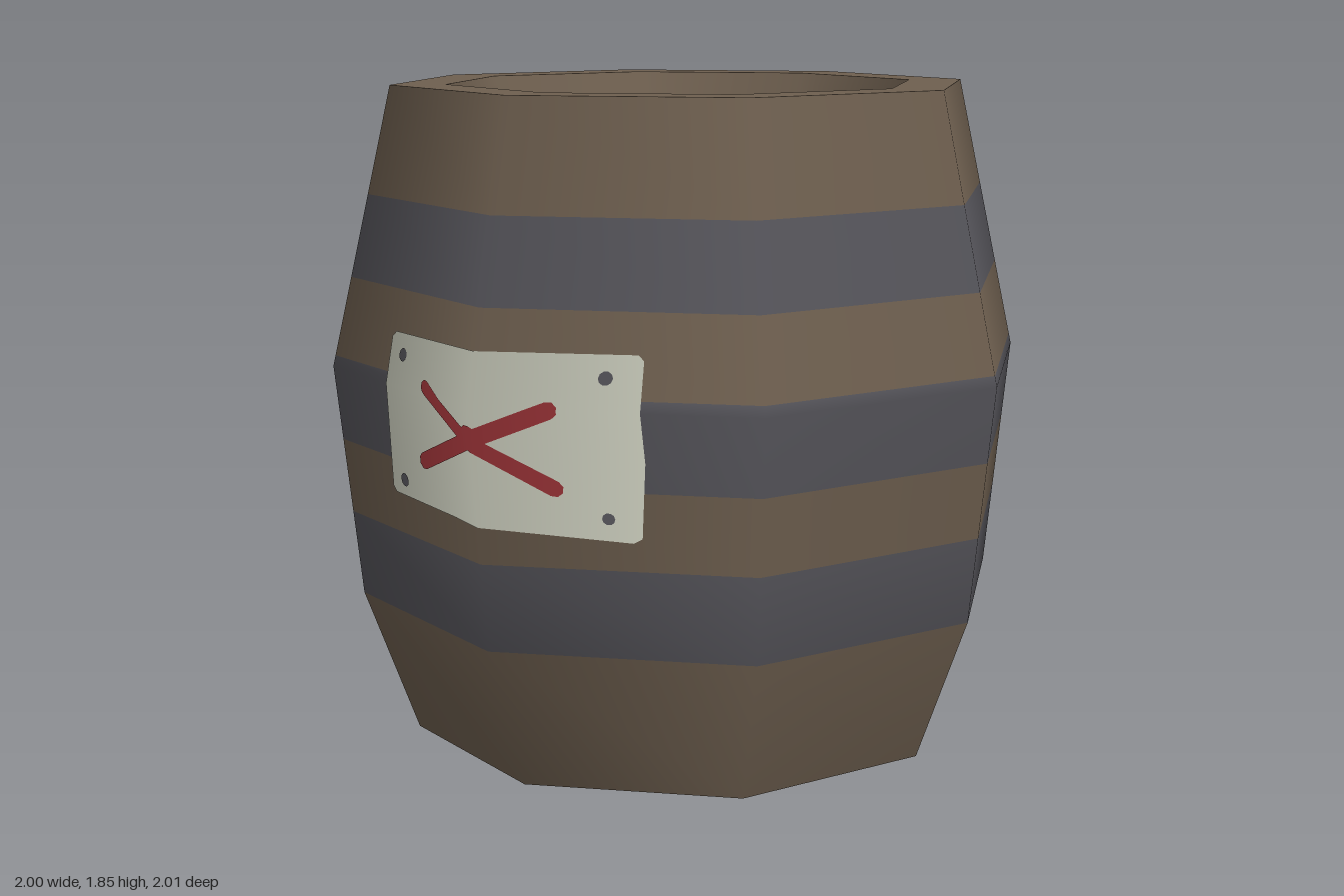
import * as THREE from 'three';

const SIDES = 8;
const paint = (name, color) => {
  const m = new THREE.MeshStandardMaterial({ color });
  m.name = name;
  return m;
};

// Barrel silhouette: [radius, height]
const RINGS = [[0.78, 0], [0.93, 0.41], [1, 1.07], [0.825, 1.85]];
const BULGE = 1.07, TOP = 1.85, FLOOR = 1.69;

function radiusAt(y) {
  let i = 0;
  while (i < RINGS.length - 2 && y > RINGS[i + 1][1]) i++;
  const [r0, y0] = RINGS[i], [r1, y1] = RINGS[i + 1];
  return r0 + (r1 - r0) * (y - y0) / (y1 - y0);
}

// Keep the part of a convex outline where side * p[axis] >= side * at
function clip(points, axis, at, side) {
  const out = [];
  points.forEach((p, i) => {
    const q = points[(i + 1) % points.length];
    const a = side * (p[axis] - at), b = side * (q[axis] - at);
    if (a >= 0) out.push(p);
    if (a * b < 0) {
      const t = a / (a - b);
      out.push([p[0] + (q[0] - p[0]) * t, p[1] + (q[1] - p[1]) * t]);
    }
  });
  return out;
}

// Lay convex clockwise-or-not outlines on the front staves, folding them at the edges
function wrapped(outlines, shiftX, lift) {
  const pos = [], nor = [];
  for (const outline of outlines) {
    const moved = outline.map(([x, y]) => [x + shiftX, y]);
    for (const sx of [-1, 1]) for (const sy of [-1, 1]) {
      const part = clip(clip(moved, 0, 0, sx), 1, BULGE, sy);
      for (let i = 1; i + 1 < part.length; i++) {
        for (const [x, y] of [part[0], part[i], part[i + 1]]) {
          const z = radiusAt(y) - Math.abs(x) * Math.tan(Math.PI / SIDES) + lift;
          const n = new THREE.Vector3(x, 0.06, z).normalize();
          pos.push(x, y, z);
          nor.push(n.x, n.y, n.z);
        }
      }
    }
  }
  const g = new THREE.BufferGeometry();
  g.setAttribute('position', new THREE.Float32BufferAttribute(pos, 3));
  g.setAttribute('normal', new THREE.Float32BufferAttribute(nor, 3));
  return g;
}

// Counter-clockwise brush stroke with rounded ends of different widths
function stroke(x0, y0, r0, x1, y1, r1) {
  const a = Math.atan2(y1 - y0, x1 - x0), pts = [];
  for (let i = 0; i <= 4; i++) {
    const t = a - Math.PI / 2 + i * Math.PI / 4;
    pts.push([x1 + r1 * Math.cos(t), y1 + r1 * Math.sin(t)]);
  }
  for (let i = 0; i <= 4; i++) {
    const t = a + Math.PI / 2 + i * Math.PI / 4;
    pts.push([x0 + r0 * Math.cos(t), y0 + r0 * Math.sin(t)]);
  }
  return pts;
}

const dot = (x, y, r) => Array.from({ length: 10 }, (_, i) =>
  [x + r * Math.cos(i * Math.PI / 5), y + r * Math.sin(i * Math.PI / 5)]);

export function createModel() {
  const wood = paint('brown wood', 0x6e5f4f);
  const iron = paint('grey iron', 0x56555b);
  const paper = paint('pale notice', 0xcbcdbd);
  const red = paint('red paint', 0x983236);

  const model = new THREE.Group();
  model.name = 'barrel';
  const add = (name, geometry, material, parent = model) => {
    const mesh = new THREE.Mesh(geometry, material);
    mesh.name = name;
    parent.add(mesh);
    return mesh;
  };

  // Staves with three flush hoops, coloured row by row
  const heights = [0, 0.41, 0.65, 0.86, BULGE, 1.1, 1.32, 1.55, TOP];
  const hoopRows = [1, 3, 4, 6];
  const body = new THREE.LatheGeometry(
    heights.map(y => new THREE.Vector2(radiusAt(y), y)), SIDES);
  const rows = heights.length - 1;
  for (let s = 0; s < SIDES; s++) {
    for (let r = 0; r < rows; r++) {
      body.addGroup((s * rows + r) * 6, 6, hoopRows.includes(r) ? 1 : 0);
    }
  }
  add('stavesAndHoops', body, [wood, iron]);

  // Base, rim and recessed lid
  add('base', new THREE.CircleGeometry(0.78, SIDES).rotateX(Math.PI / 2), wood);
  const rim = add('rim', new THREE.RingGeometry(0.67, 0.825, SIDES).rotateX(-Math.PI / 2), wood);
  rim.position.y = TOP;
  add('rimInnerWall', new THREE.LatheGeometry(
    [new THREE.Vector2(0.67, TOP), new THREE.Vector2(0.61, FLOOR)], SIDES), wood);
  const lidEdge = add('lidWornEdge', new THREE.CircleGeometry(0.61, SIDES).rotateX(-Math.PI / 2), iron);
  lidEdge.position.y = FLOOR;
  const lidOutline = [
    [0, -0.55], [0.15, -0.53], [0.42, -0.43], [0.5, -0.25], [0.56, -0.1], [0.58, 0.05],
    [0.52, 0.2], [0.46, 0.28], [0.43, 0.42], [0.2, 0.52], [0, 0.59], [-0.2, 0.52],
    [-0.42, 0.42], [-0.5, 0.25], [-0.6, 0], [-0.5, -0.24], [-0.42, -0.28],
    [-0.42, -0.38], [-0.32, -0.47], [-0.2, -0.5], [-0.12, -0.53],
  ].map(([x, z]) => new THREE.Vector2(x, -z));
  const lid = add('lid', new THREE.ShapeGeometry(new THREE.Shape(lidOutline)).rotateX(-Math.PI / 2), wood);
  lid.position.y = FLOOR + 0.005;

  // Notices nailed to front and back, each with a painted cross
  const sheet = [
    [-0.42, 0.78], [-0.405, 0.765], [-0.1, 0.757], [0.38, 0.727], [0.402, 0.74],
    [0.42, 0.94], [0.41, 1.2], [0.395, 1.214], [-0.385, 1.21], [-0.403, 1.195],
  ];
  const cross = [
    stroke(-0.21, 1.092, 0.017, 0.2, 0.865, 0.022),
    stroke(-0.235, 0.885, 0.023, 0.195, 1.07, 0.023),
    dot(-0.01, 0.99, 0.034),
  ];
  const nails = [
    dot(0.325, 1.155, 0.018), dot(0.325, 0.79, 0.016),
    dot(-0.35, 0.81, 0.019), dot(-0.335, 1.155, 0.018),
  ];
  const addNotice = (name, shiftX, turn, nailCount) => {
    const notice = new THREE.Group();
    notice.name = name;
    notice.rotation.y = turn;
    add('sheet', wrapped([sheet], shiftX, 0.003), paper, notice);
    add('cross', wrapped(cross, shiftX, 0.006), red, notice);
    add('nails', wrapped(nails.slice(0, nailCount), shiftX, 0.006), iron, notice);
    model.add(notice);
  };
  addNotice('frontNotice', 0, 0, 4);
  addNotice('backNotice', -0.21, Math.PI, 3);

  return model;
}
